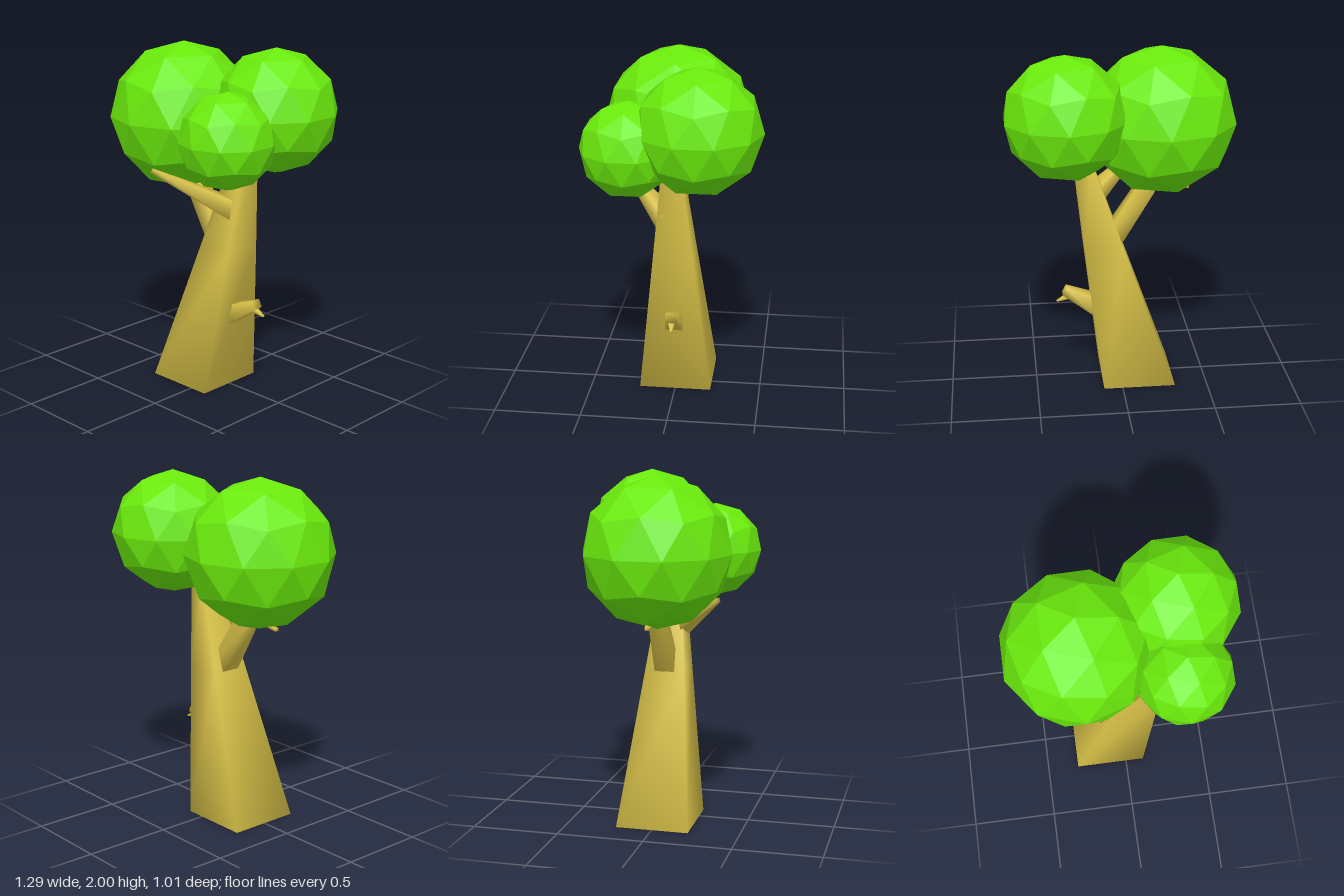
import * as THREE from 'three';

const bark = new THREE.MeshStandardMaterial({ color: 0xdcc549 });
const leaf = new THREE.MeshStandardMaterial({ color: 0x6aea0c, flatShading: true });

// Tapered four-sided limb through square sections [x, y, z, halfU, halfV].
// With level = true the sections stay horizontal, otherwise they face along the limb.
function limb(name, stations, level = false) {
  const centres = stations.map(([x, y, z]) => new THREE.Vector3(x, y, z));
  const dir = centres.at(-1).clone().sub(centres[0]).normalize();
  if (level) dir.set(0, 1, 0);
  const u = level ? new THREE.Vector3(0, 0, 1)
    : new THREE.Vector3(0, 1, 0).cross(dir).normalize();
  const v = dir.clone().cross(u);

  const pos = [], index = [];
  const corners = [[-1, -1], [1, -1], [1, 1], [-1, 1]];
  stations.forEach(([, , , hu, hv], i) => {
    for (const [a, b] of corners) {
      const p = centres[i].clone().addScaledVector(u, a * hu).addScaledVector(v, b * hv);
      pos.push(p.x, p.y, p.z);
    }
  });
  const last = (stations.length - 1) * 4;
  for (let r = 0; r < last; r += 4) {
    for (let k = 0; k < 4; k++) {
      const a = r + k, b = r + (k + 1) % 4;
      index.push(a, b, b + 4, a, b + 4, a + 4);
    }
  }
  // end caps
  index.push(0, 2, 1, 0, 3, 2, last, last + 1, last + 2, last, last + 2, last + 3);

  const geo = new THREE.BufferGeometry();
  geo.setAttribute('position', new THREE.Float32BufferAttribute(pos, 3));
  geo.setIndex(index);
  geo.computeVertexNormals();
  const mesh = new THREE.Mesh(geo, bark);
  mesh.name = name;
  return mesh;
}

// Faceted ball of leaves with a corner pointing straight up
function foliage(name, x, y, z, radius) {
  const geo = new THREE.IcosahedronGeometry(radius, 1);
  geo.rotateZ(-Math.atan(2 / (1 + Math.sqrt(5))));
  const mesh = new THREE.Mesh(geo, leaf);
  mesh.position.set(x, y, z);
  mesh.name = name;
  return mesh;
}

export function createModel() {
  const tree = new THREE.Group();
  tree.name = 'tree';

  // leaning trunk
  tree.add(limb('trunk', [
    [-0.10, 0, 0, 0.21, 0.21],
    [0.10, 0.86, 0, 0.115, 0.11],
    [0.215, 1.37, 0, 0.06, 0.05],
  ], true));

  // rear limb that carries the large crown, with its twig
  tree.add(limb('crownBranch', [
    [0.06, 0.85, 0, 0.06, 0.055],
    [-0.15, 1.18, 0, 0.045, 0.05],
    [-0.22, 1.29, 0, 0.035, 0.04],
  ]));
  tree.add(limb('crownTwig', [
    [-0.20, 1.23, 0, 0.025, 0.02],
    [-0.40, 1.175, 0, 0.012, 0.008],
  ]));

  // bare branch reaching forward
  tree.add(limb('frontBranch', [
    [0.19, 1.09, 0.03, 0.055, 0.055],
    [-0.165, 1.315, 0.345, 0.012, 0.012],
  ]));

  // broken stub low on the side, with its twig
  tree.add(limb('stubBranch', [
    [0.10, 0.435, 0, 0.055, 0.06],
    [0.325, 0.555, 0, 0.03, 0.024],
  ]));
  tree.add(limb('stubTwig', [
    [0.27, 0.53, 0, 0.025, 0.018],
    [0.37, 0.49, -0.01, 0.006, 0.004],
  ]));

  tree.add(foliage('largeCrown', -0.24, 1.575, 0.015, 0.425));
  tree.add(foliage('rearCrown', 0.31, 1.65, -0.155, 0.352));
  tree.add(foliage('frontCrown', 0.31, 1.54, 0.23, 0.27));
  return tree;
}
